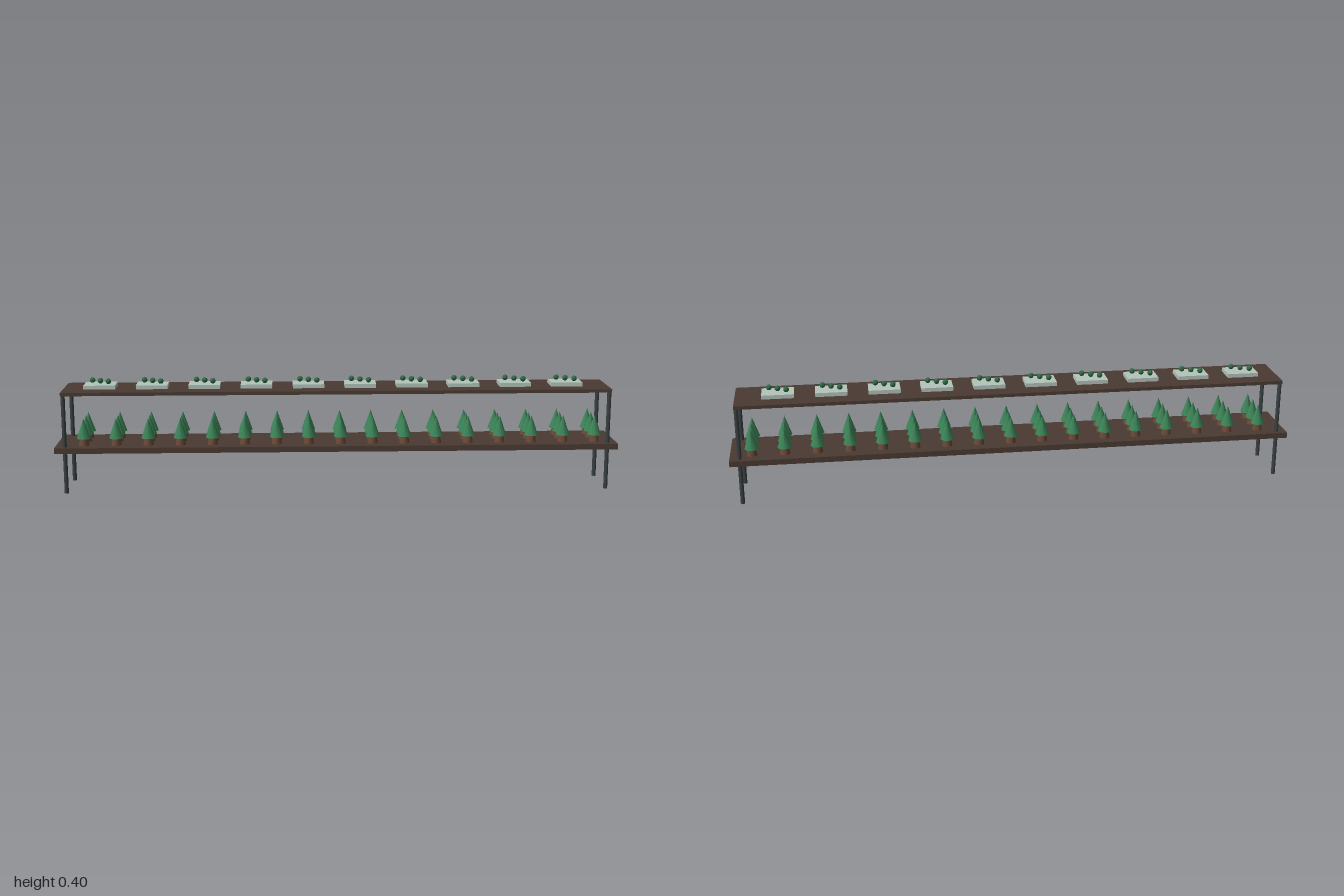
import * as THREE from 'three';

const mat = (color) => new THREE.MeshStandardMaterial({ color });
const wood = mat(0x4a3b32);
const metal = mat(0x3a4143);
const bark = mat(0x6b4a38);
const foliage = mat(0x3c8458);
const leaf = mat(0x2f6b47);
const stone = mat(0xb4c6bc);

function add(parent, name, geometry, material, x, y, z) {
  const mesh = new THREE.Mesh(geometry, material);
  mesh.name = name;
  mesh.position.set(x, y, z);
  parent.add(mesh);
  return mesh;
}

export function createModel() {
  const model = new THREE.Group();
  model.name = 'plantBench';

  // Two long shelves
  add(model, 'lowerShelf', new THREE.BoxGeometry(2, 0.02, 0.227), wood, 0, 0.158, 0);
  add(model, 'upperShelf', new THREE.BoxGeometry(1.946, 0.012, 0.2), wood, 0, 0.358, 0);

  // Four round posts at the corners
  const post = new THREE.CylinderGeometry(0.0075, 0.0075, 0.358, 8);
  for (const x of [-0.965, 0.965]) {
    for (const z of [-0.0925, 0.0925]) add(model, 'post', post, metal, x, 0.179, z);
  }

  // Three rows of small conical trees on the lower shelf
  const trunk = new THREE.CylinderGeometry(0.0145, 0.0185, 0.026, 8);
  const crown = new THREE.ConeGeometry(0.025, 0.071, 8);
  for (let i = 0; i < 17; i++) {
    for (const z of [-0.0625, 0, 0.0625]) {
      const tree = new THREE.Group();
      tree.name = 'tree';
      tree.position.set(-0.901 + i * 0.114, 0.168, z);
      add(tree, 'trunk', trunk, bark, 0, 0.013, 0);
      add(tree, 'crown', crown, foliage, 0, 0.0605, 0);
      model.add(tree);
    }
  }

  // Trays on the upper shelf, each with a diagonal of three round plants
  const slab = new THREE.BoxGeometry(0.112, 0.014, 0.08);
  const ball = new THREE.SphereGeometry(0.01, 10, 8);
  for (let i = 0; i < 10; i++) {
    const tray = new THREE.Group();
    tray.name = 'tray';
    tray.position.set(-0.844 + i * 0.1853, 0.364, 0);
    add(tray, 'slab', slab, stone, 0, 0.007, 0);
    for (const k of [-1, 0, 1]) add(tray, 'roundPlant', ball, leaf, k * 0.03, 0.025, k * 0.0145);
    model.add(tray);
  }

  return model;
}
